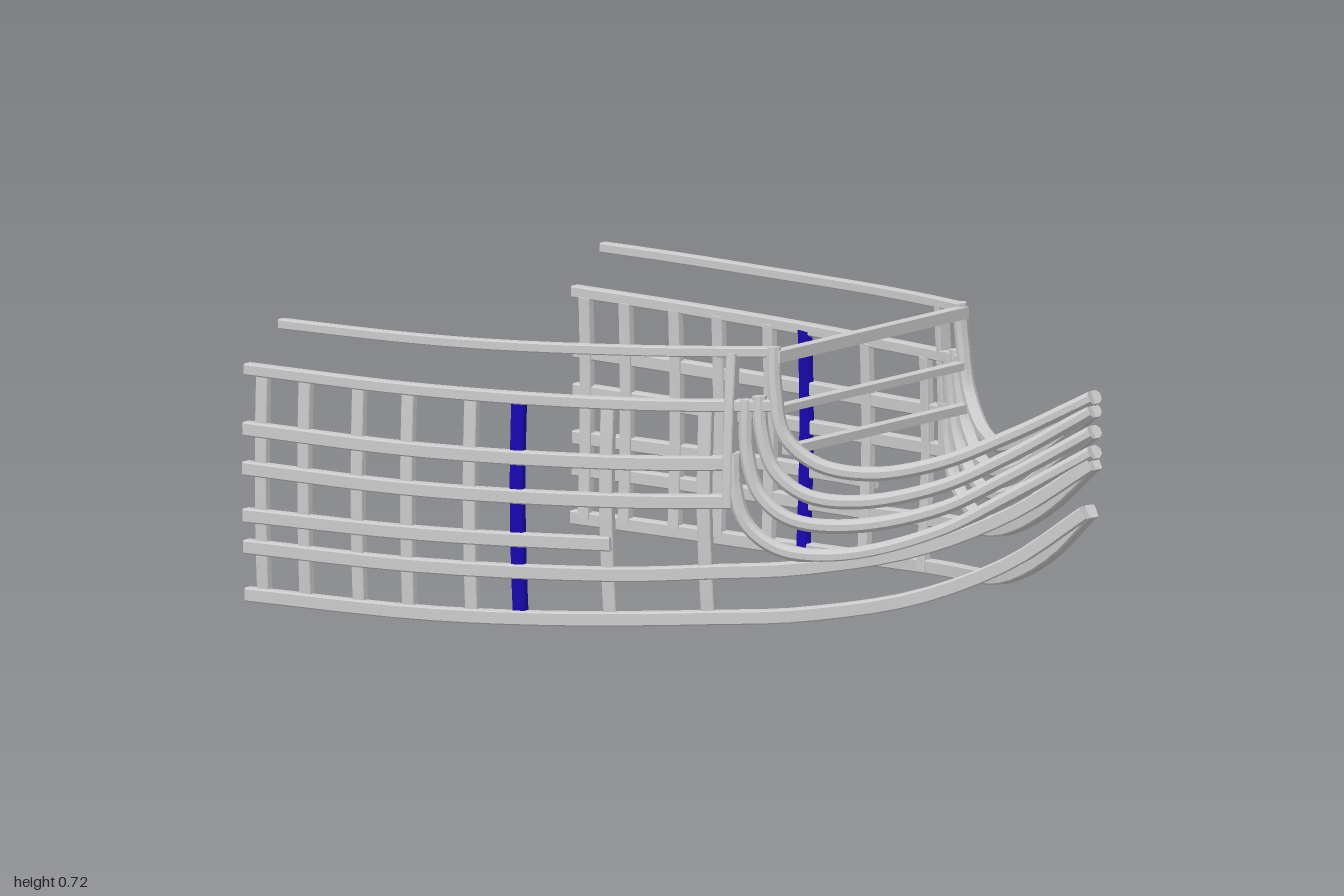
import * as THREE from 'three';

const grey = new THREE.MeshStandardMaterial({ color: 0xcccccc, flatShading: true });
const blue = new THREE.MeshStandardMaterial({ color: 0x1808b0, flatShading: true });

// Half breadth of the hull along its length
const plan = new THREE.CubicInterpolant(
  [-1, -0.6, -0.3, 0, 0.2, 0.34, 0.45, 0.6, 0.8, 0.99],
  [0.535, 0.517, 0.48, 0.418, 0.36, 0.308, 0.245, 0.155, 0.066, 0.004], 1);
const breadth = (x) => plan.evaluate(Math.min(0.99, Math.max(-1, x)))[0];

// Hull surface: bulges a little amidships, narrows low down towards the bow
function hullZ(x, y) {
  const b = breadth(x);
  const bulge = 0.008 - 0.1 * (y - 0.3) ** 2;
  const narrow = 0.05 * Math.max(0, 0.35 - y) * THREE.MathUtils.smoothstep(x, -0.6, 0.2);
  return b + (bulge - narrow) * Math.min(1, b / 0.3);
}

function hullNormal(x, side) {
  const slope = (breadth(x + 0.02) - breadth(x - 0.02)) / 0.04;
  return new THREE.Vector3(-slope, 0, side).normalize();
}

// Sweep a chamfered rectangle along points lying on the hull
function sweep(points, side, w, h, chamfer) {
  const a = w / 2, b = h / 2, c = Math.min(w, h) * chamfer;
  const section = [[a, -b + c], [a, b - c], [a - c, b], [-a + c, b],
    [-a, b - c], [-a, -b + c], [-a + c, -b], [a - c, -b]];
  const n = section.length, last = points.length - 1, pos = [], index = [];
  points.forEach((p, i) => {
    const t = points[Math.min(last, i + 1)].clone().sub(points[Math.max(0, i - 1)]).normalize();
    const out = hullNormal(p.x, side);
    out.addScaledVector(t, -out.dot(t)).normalize();
    const up = t.clone().cross(out);
    for (const [u, v] of section) {
      pos.push(...p.clone().addScaledVector(out, u).addScaledVector(up, v).toArray());
    }
    if (i === last) return;
    for (let j = 0; j < n; j++) {
      const q = i * n + j, r = i * n + (j + 1) % n;
      index.push(q, r, q + n, r, r + n, q + n);
    }
  });
  for (let j = 1; j < n - 1; j++) {
    index.push(0, j + 1, j, last * n, last * n + j, last * n + j + 1);
  }
  const geometry = new THREE.BufferGeometry();
  geometry.setAttribute('position', new THREE.Float32BufferAttribute(pos, 3));
  geometry.setIndex(index);
  geometry.computeVertexNormals();
  return geometry;
}

// Timber following side-view points [x, y], set in from the hull
function timber(name, profile, side, { w = 0.025, h = 0.03, chamfer = 0.12, inset = 0, steps = 30, material = grey } = {}) {
  const curve = new THREE.CatmullRomCurve3(profile.map(([x, y]) => new THREE.Vector3(x, y, 0)));
  const points = curve.getPoints(steps).map((p) =>
    new THREE.Vector3(p.x, p.y, side * Math.max(0.004, hullZ(p.x, p.y) - inset)));
  const mesh = new THREE.Mesh(sweep(points, side, w, h, chamfer), material);
  mesh.name = name;
  return mesh;
}

const wales = {
  bottomWale: [[-1, 0.018], [-0.5, 0.042], [-0.2, 0.065], [0, 0.085], [0.2, 0.107], [0.4, 0.13], [0.6, 0.175], [0.8, 0.268], [0.97, 0.395]],
  lowerWale: [[-1, 0.125], [-0.5, 0.148], [0, 0.185], [0.2, 0.21], [0.4, 0.235], [0.6, 0.282], [0.8, 0.375], [0.985, 0.505]],
  shortWale: [[-1, 0.195], [-0.5, 0.22], [-0.035, 0.25]],
  middleWale: [[-1, 0.3], [-0.5, 0.318], [0, 0.35], [0.245, 0.372]],
  upperWale: [[-1, 0.388], [-0.5, 0.405], [0, 0.435], [0.245, 0.457]],
  sheerRail: [[-1, 0.52], [-0.5, 0.538], [0, 0.565], [0.34, 0.592]],
};

// Swept rails of the head, dropping from the bulkhead and rising to the stem
const headRails = [
  [[0.325, 0.72], [0.333, 0.62], [0.355, 0.525], [0.42, 0.465], [0.52, 0.448], [0.65, 0.478], [0.8, 0.55], [0.985, 0.652]],
  [[0.3, 0.61], [0.308, 0.53], [0.335, 0.45], [0.4, 0.395], [0.5, 0.385], [0.65, 0.425], [0.8, 0.505], [0.985, 0.622]],
  [[0.273, 0.6], [0.278, 0.48], [0.305, 0.395], [0.37, 0.34], [0.48, 0.33], [0.65, 0.375], [0.8, 0.46], [0.985, 0.575]],
  [[0.248, 0.48], [0.253, 0.4], [0.28, 0.32], [0.35, 0.27], [0.47, 0.265], [0.65, 0.325], [0.8, 0.415], [0.985, 0.53]],
];

export function createModel() {
  const model = new THREE.Group();
  model.name = 'shipBowFrame';
  for (const side of [1, -1]) {
    const half = new THREE.Group();
    half.name = side > 0 ? 'frontSide' : 'backSide';

    // Long wales and rails
    for (const [name, profile] of Object.entries(wales)) {
      half.add(timber(name, profile, side, { h: name === 'sheerRail' ? 0.026 : 0.031 }));
    }
    half.add(timber('topRail', [[-0.91, 0.632], [-0.4, 0.655], [0, 0.683], [0.335, 0.71]], side, { h: 0.022, w: 0.022 }));

    // Upright ribs let into the wales
    for (const x of [-0.96, -0.84, -0.69, -0.555, -0.39, -0.27, -0.05, 0.178]) {
      const marked = x === -0.27;
      const base = 0.065 + 0.065 * (x + 0.3), top = 0.545 + 0.05 * (x + 0.3);
      half.add(timber(marked ? 'markedRib' : 'rib', [[x, base], [x, 0.3], [x, top]], side,
        { w: 0.018, h: 0.032, inset: 0.008, steps: 8, material: marked ? blue : grey }));
    }

    // Post carrying the top rail
    half.add(timber('railPost', [[0.24, 0.36], [0.24, 0.7]], side, { h: 0.022, w: 0.03, inset: -0.003, steps: 4 }));

    // Head rails
    for (const profile of headRails) {
      half.add(timber('headRail', profile, side, { w: 0.03, h: 0.03, chamfer: 0.28, steps: 44 }));
    }
    model.add(half);
  }

  // Beams across the bulkhead
  for (const [x, y, h, length] of [[0.335, 0.7, 0.026, 0.62], [0.335, 0.582, 0.017, 0.63], [0.353, 0.492, 0.02, 0.59]]) {
    const beam = new THREE.Mesh(new THREE.BoxGeometry(0.025, h, length), grey);
    beam.name = 'crossBeam';
    beam.position.set(x, y, 0);
    model.add(beam);
  }
  return model;
}
